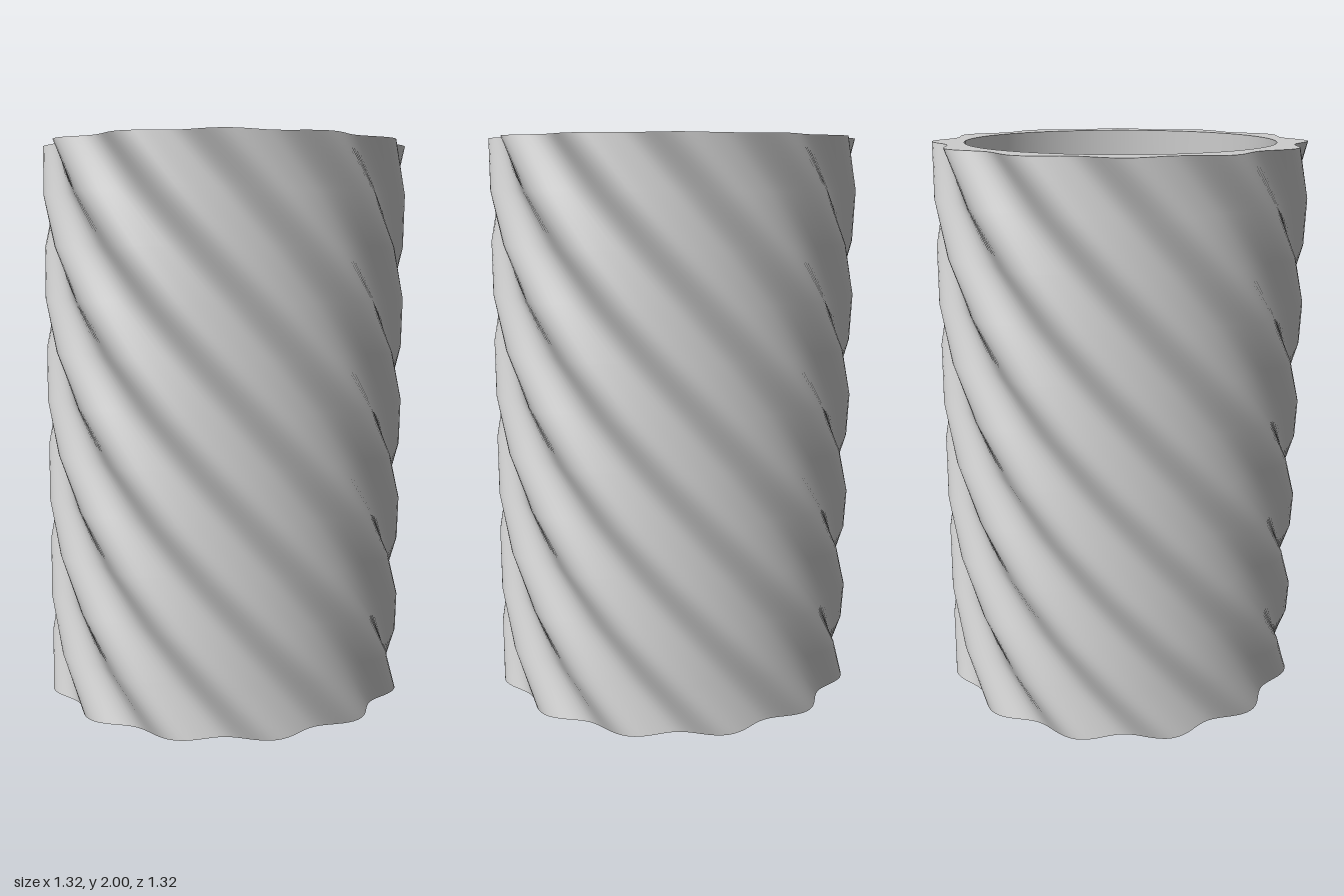
import * as THREE from 'three';

const SEGMENTS = 192;            // points around each ring
const LAYERS = 11;               // each layer turns by half a lobe
const HEIGHT = 2, HOLE = 0.545, WALL = 0.06;
const FLOOR = 0.17, RECESS = 0.1;
const STEP = Math.PI / 12;

// Twelve rounded lobes
const lobed = (a) => 0.61 + 0.05 * Math.cos(6 * a) ** 2;
const recessed = (a) => lobed(a) - WALL;
const round = () => HOLE;
const point = () => 0;

// Skins a list of rings { y, radius(angle), twist } with smooth normals
function loft(name, rings, material) {
  const positions = [], index = [];
  for (const { y, radius, twist = 0 } of rings) {
    for (let i = 0; i < SEGMENTS; i++) {
      const a = (i / SEGMENTS) * Math.PI * 2, r = radius(a);
      positions.push(r * Math.cos(a + twist), y, r * Math.sin(a + twist));
    }
  }
  for (let k = 0; k < rings.length - 1; k++) {
    for (let i = 0; i < SEGMENTS; i++) {
      const j = (i + 1) % SEGMENTS;
      const a = k * SEGMENTS + i, b = k * SEGMENTS + j;
      const c = a + SEGMENTS, d = b + SEGMENTS;
      index.push(a, c, b, b, c, d);
    }
  }
  const geometry = new THREE.BufferGeometry();
  geometry.setAttribute('position', new THREE.Float32BufferAttribute(positions, 3));
  geometry.setIndex(index);
  geometry.computeVertexNormals();
  const mesh = new THREE.Mesh(geometry, material);
  mesh.name = name;
  return mesh;
}

export function createModel() {
  const group = new THREE.Group();
  group.name = 'twistedPot';
  const material = new THREE.MeshStandardMaterial({ color: 0xcccccc });
  const add = (name, ...rings) => group.add(loft(name, rings, material));

  // Twisted outer wall, lobes turning as they rise
  const layers = Array.from({ length: LAYERS + 1 }, (_, k) => ({
    y: (HEIGHT * k) / LAYERS, radius: lobed, twist: STEP * (k + 1),
  }));
  const bottom = layers[0], top = layers[LAYERS];
  add('outerWall', ...layers);

  // Flat top rim, round bore and floor
  add('topRim', top, { y: HEIGHT, radius: round, twist: top.twist });
  add('innerWall', { y: HEIGHT, radius: round }, { y: FLOOR, radius: round });
  add('floor', { y: FLOOR, radius: round }, { y: FLOOR, radius: point });

  // Lobed recess under the base, leaving a narrow foot
  const recessTop = { y: RECESS, radius: recessed, twist: STEP };
  const recessEdge = { y: 0, radius: recessed, twist: STEP };
  add('underside', { y: RECESS, radius: point }, recessTop);
  add('recessWall', recessTop, recessEdge);
  add('footRim', recessEdge, bottom);

  return group;
}
